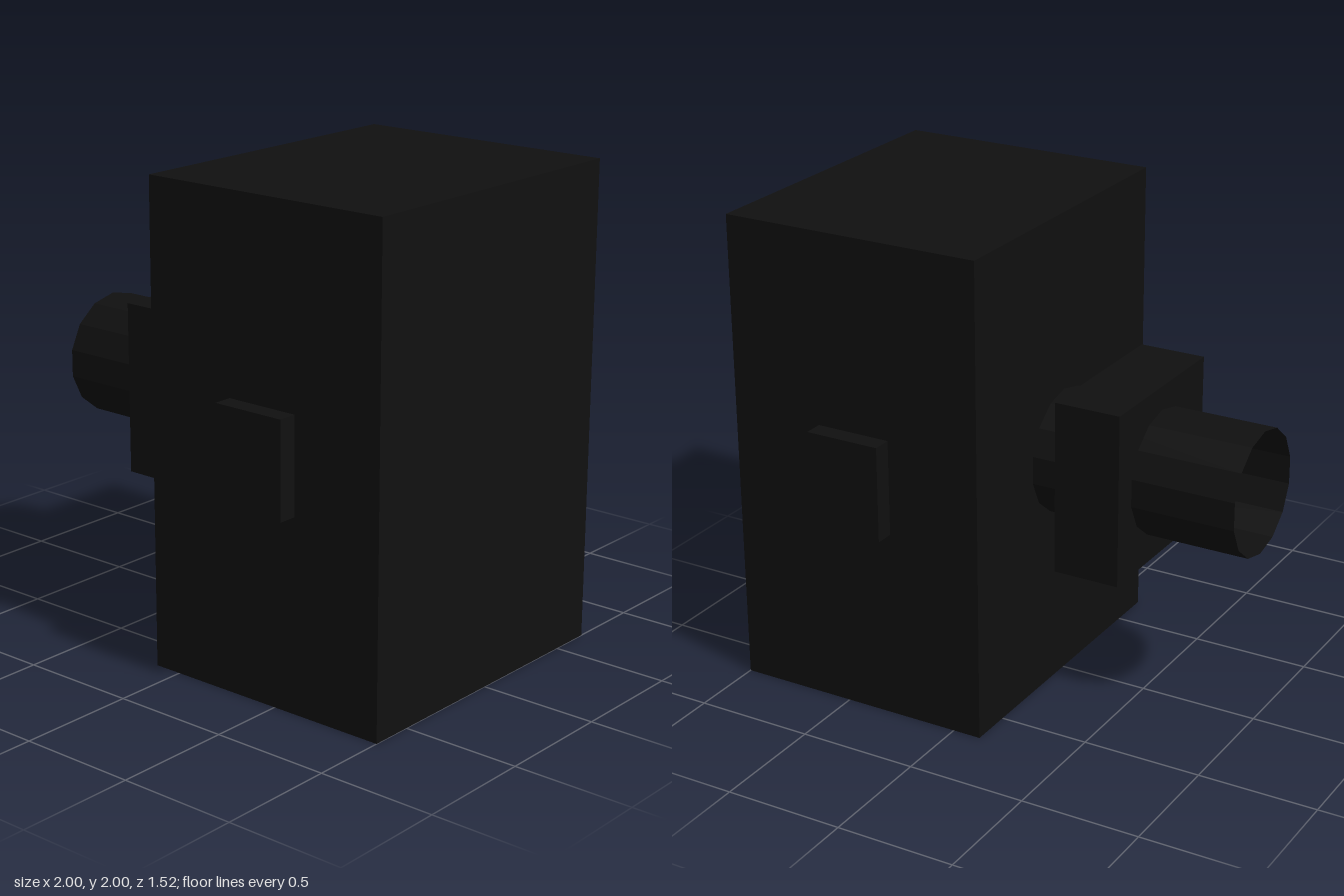
import * as THREE from 'three';

export function createModel() {
  const group = new THREE.Group();
  const black = new THREE.MeshStandardMaterial({ color: 0x101010, flatShading: true, side: THREE.DoubleSide });
  black.name = 'matte black';

  const add = (name, geometry, x, y, z) => {
    const mesh = new THREE.Mesh(geometry, black);
    mesh.name = name;
    mesh.position.set(x, y, z);
    group.add(mesh);
    return mesh;
  };

  // Main block
  add('body', new THREE.BoxGeometry(1.12, 2, 1.36), 0.44, 1, 0);

  // Raised pads on the front and back
  for (const [name, side] of [['frontPad', 1], ['backPad', -1]]) {
    add(name, new THREE.BoxGeometry(0.32, 0.4, 0.08), 0.44, 1, side * 0.72);
  }

  // Open-ended tube leaving the side, with a square collar around it
  const tube = new THREE.CylinderGeometry(0.26, 0.26, 0.88, 14, 1, true, Math.PI / 2);
  add('tube', tube, -0.56, 1, 0).rotation.z = Math.PI / 2;
  add('collar', new THREE.BoxGeometry(0.28, 0.72, 0.72), -0.42, 1, 0);

  return group;
}
